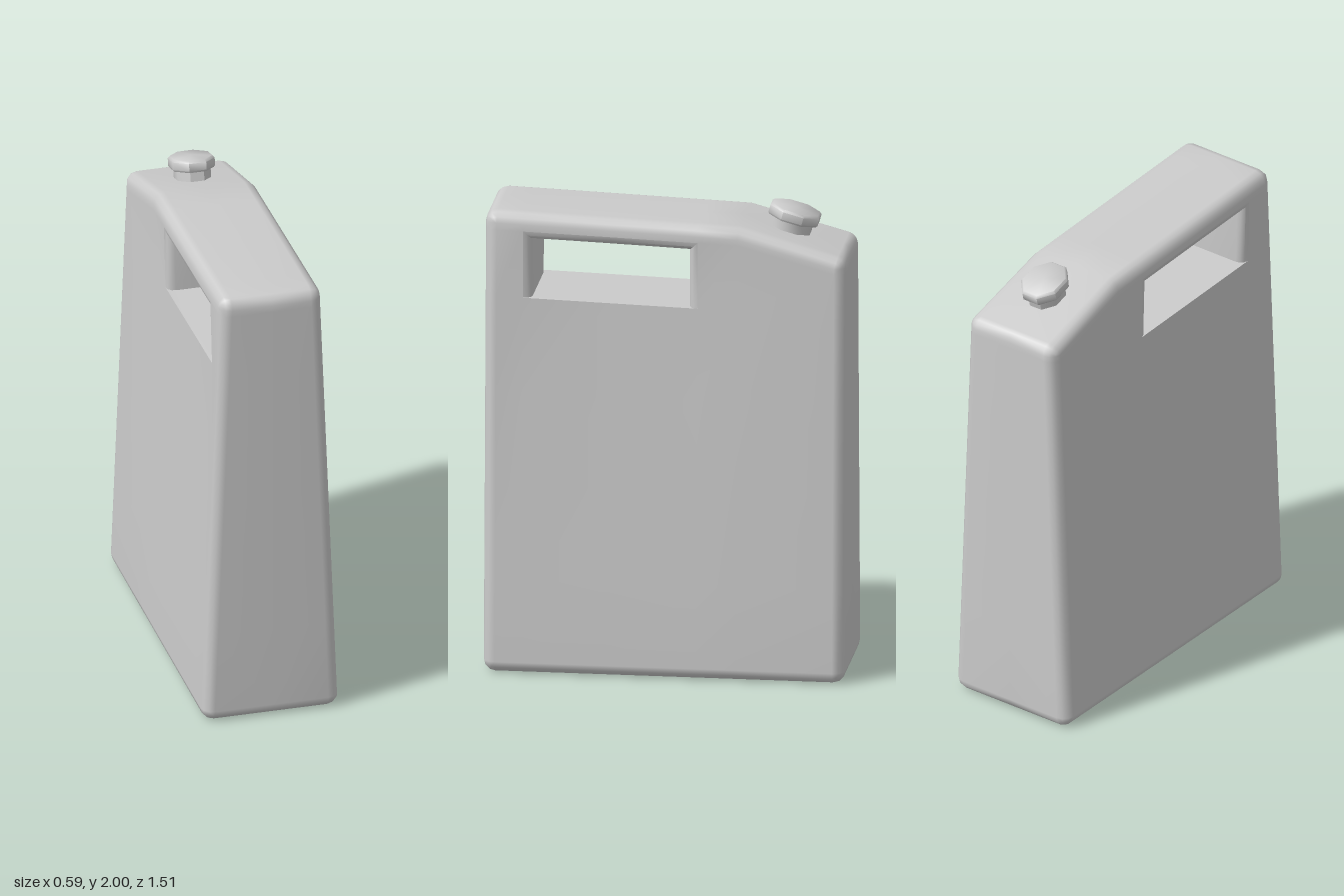
import * as THREE from 'three';
import { mergeVertices, toCreasedNormals } from 'three/addons/utils/BufferGeometryUtils.js';

const R = 0.05;                                    // edge rounding of the can
const ZS = [0.705, 0.595, 0.23, -0.135, -0.3, -0.705]; // columns, front to back
const HOLE = [1, 3];                               // columns bounding the handle opening
const HOLE_ROW = 4;                                // row at the bottom of the opening

const lerp = THREE.MathUtils.lerp;
const halfWidth = (y) => 0.295 - 0.0395 * y;
const topY = (z) => (z > -0.3 ? 1.886 + 0.0355 * (z + 0.3) : 1.886 + 0.275 * (z + 0.3));
const sillY = (z) => 1.583 + 0.028 * (z + 0.1);
const lintelY = (z) => Math.min(topY(z) - 0.025, 1.868 + 0.03 * (z + 0.135));

// Point of the flat side panel, with a shallow hollow growing up to the sill
function panelPoint(i, j) {
  const z = ZS[i];
  const ys = [0.05, 0.4, 0.8, 1.2, sillY(z), lintelY(z), topY(z)];
  const y = ys[j];
  const inHollow = i >= HOLE[0] && i <= HOLE[1] && j <= HOLE_ROW;
  const dent = inHollow ? 0.018 * Math.max(0, (y - 0.05) / 1.55) : 0;
  return new THREE.Vector3(halfWidth(y) - dent, y, z);
}

// Collects quads and their mirror images across x = 0
function mirroredBuilder() {
  const pos = [];
  const tri = (a, b, c) => {
    for (const p of [a, b, c]) pos.push(p.x, p.y, p.z);
    for (const p of [a, c, b]) pos.push(-p.x, p.y, p.z);
  };
  return {
    quad(a, b, c, d) { tri(a, b, c); tri(a, c, d); },
    geometry() {
      const g = new THREE.BufferGeometry();
      g.setAttribute('position', new THREE.Float32BufferAttribute(pos, 3));
      return g;
    },
  };
}

// Rings that round a border over by radius r and then run on to the middle plane
function roundedRings(border, r, steps) {
  const rings = [];
  for (let k = 0; k <= steps; k++) {
    const a = (k / steps) * Math.PI / 2;
    rings.push(border.map(({ p, dy, dz }) => new THREE.Vector3(
      p.x - r * (1 - Math.cos(a)), p.y + dy * Math.sin(a), p.z + dz * Math.sin(a))));
  }
  rings.push(rings[steps].map((p) => new THREE.Vector3(0, p.y, p.z)));
  return rings;
}

function bodyGeometry() {
  const b = mirroredBuilder();
  const nc = ZS.length - 1, nr = 6;
  // Side panels, leaving out the opening
  for (let i = 0; i < nc; i++) for (let j = 0; j < nr; j++) {
    if (i >= HOLE[0] && i < HOLE[1] && j === HOLE_ROW) continue;
    b.quad(panelPoint(i, j), panelPoint(i + 1, j), panelPoint(i + 1, j + 1), panelPoint(i, j + 1));
  }
  // Border loop with outward angles (0 = back, 90 = up)
  const border = [];
  const add = (i, j, ...angles) => angles.forEach((deg) => {
    const t = THREE.MathUtils.degToRad(deg);
    border.push({ p: panelPoint(i, j), dy: R * Math.sin(t), dz: -R * Math.cos(t) });
  });
  add(0, 0, 180, 210, 240, 270);
  for (let i = 1; i < nc; i++) add(i, 0, 270);
  add(nc, 0, 270, 300, 330, 360);
  for (let j = 1; j < nr; j++) add(nc, j, 0);
  add(nc, nr, 0, 25, 50, 74.6);
  add(nc - 1, nr, 81.3);
  for (let i = nc - 2; i > 0; i--) add(i, nr, 88);
  add(0, nr, 88, 120, 150, 180);
  for (let j = nr - 1; j > 0; j--) add(0, j, 180);
  // Rounded edges and the walls between the two panels
  const rings = roundedRings(border, R, 3), n = border.length;
  for (let k = 0; k < rings.length - 1; k++) for (let p = 0; p < n; p++) {
    const q = (p + 1) % n;
    b.quad(rings[k][p], rings[k + 1][p], rings[k + 1][q], rings[k][q]);
  }
  const g = mergeVertices(b.geometry(), 1e-4);
  // Drop collapsed triangles at the corners
  const kept = [], idx = g.index.array;
  for (let t = 0; t < idx.length; t += 3) {
    const [a, c, d] = [idx[t], idx[t + 1], idx[t + 2]];
    if (a !== c && c !== d && d !== a) kept.push(a, c, d);
  }
  g.setIndex(kept);
  g.computeVertexNormals();
  return g;
}

function openingGeometry() {
  const b = mirroredBuilder();
  const [f, k] = HOLE, mid = (f + k) / 2, lo = HOLE_ROW, hi = HOLE_ROW + 1;
  const s = 0.036;
  // Sill edge stays crisp, the other three edges roll inwards
  const rim = [
    [f, lo, 0, -s], [mid, lo, 0, 0], [k, lo, 0, s],
    [k, hi, -s, s], [mid, hi, -s, 0], [f, hi, -s, -s],
  ].map(([i, j, dy, dz]) => ({ p: panelPoint(i, j), dy, dz }));
  const rings = roundedRings(rim, s, 3);
  for (let r = 0; r < rings.length - 1; r++) for (let p = 0; p < rim.length; p++) {
    const q = (p + 1) % rim.length;
    b.quad(rings[r][p], rings[r][q], rings[r + 1][q], rings[r + 1][p]);
  }
  return toCreasedNormals(b.geometry(), 0.75);
}

// Eight-sided turned part, slightly longer than wide
function turned(profile) {
  const g = new THREE.LatheGeometry(profile.map(([r, y]) => new THREE.Vector2(r, y)), 8, Math.PI / 8);
  g.scale(0.93, 1, 1.1);
  return toCreasedNormals(g, 0.85);
}

export function createModel() {
  const group = new THREE.Group();
  const material = new THREE.MeshStandardMaterial({ color: 0xcccccc });
  const add = (parent, name, geometry) => {
    const mesh = new THREE.Mesh(geometry, material);
    mesh.name = name;
    parent.add(mesh);
  };

  add(group, 'canBody', bodyGeometry());
  add(group, 'handleOpening', openingGeometry());

  // Spout standing square on the sloping shoulder
  const spout = new THREE.Group();
  spout.name = 'spout';
  spout.position.set(0, 1.859, -0.49);
  spout.rotation.x = -0.265;
  add(spout, 'neck', turned([[0.083, -0.02], [0.083, 0.075]]));
  add(spout, 'cap', turned([[0, 0.068], [0.098, 0.068], [0.104, 0.076], [0.104, 0.108], [0.095, 0.118], [0, 0.122]]));
  group.add(spout);
  return group;
}
